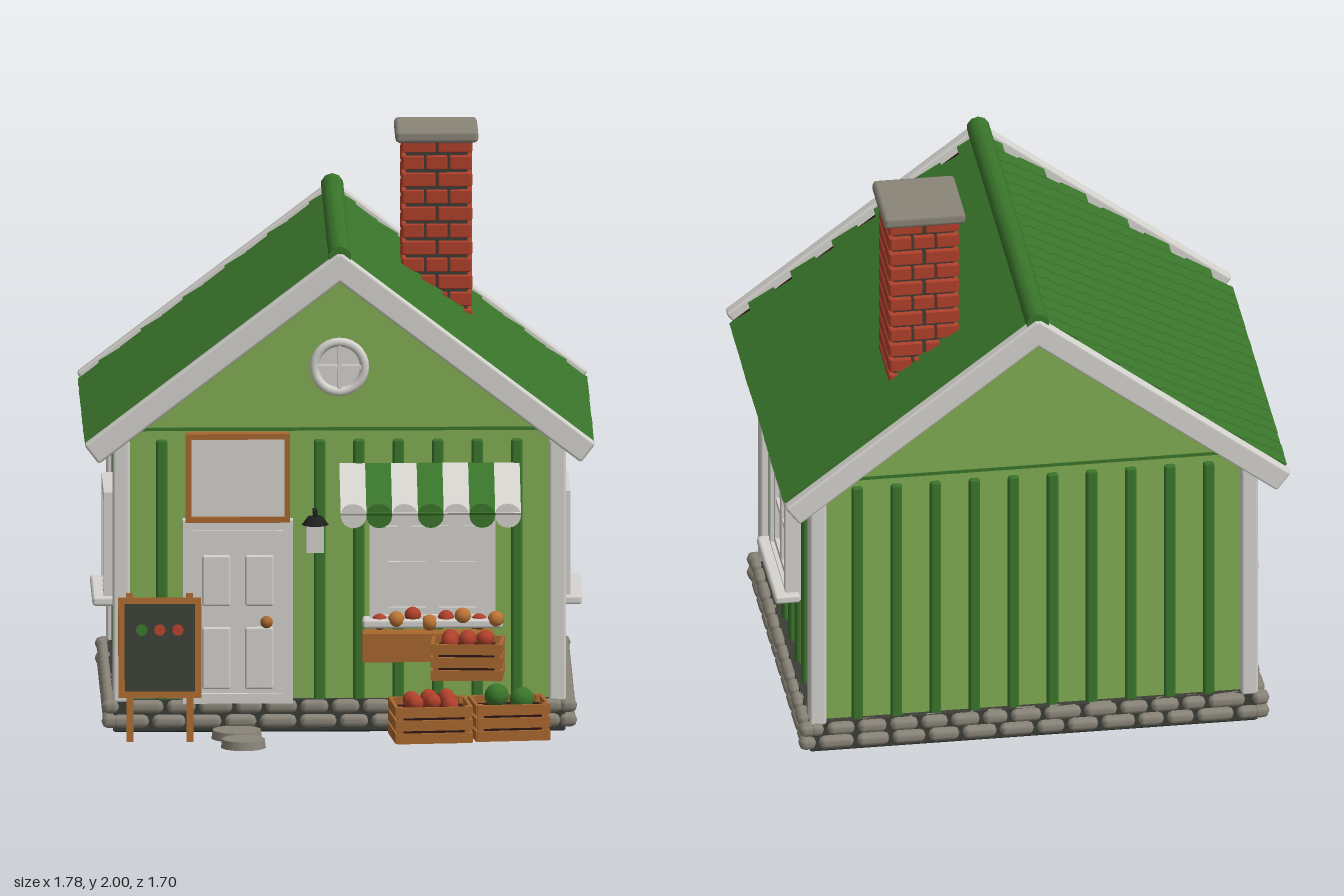
import * as THREE from 'three';
import { mergeGeometries } from 'three/addons/utils/BufferGeometryUtils.js';
import { RoundedBoxGeometry } from 'three/addons/geometries/RoundedBoxGeometry.js';

const mat = (name, color) => new THREE.MeshStandardMaterial({ name, color });

export function createModel() {
  const white = mat('white paint', 0xd6d4cf), lightGreen = mat('light green wall', 0x82ae54);
  const green = mat('dark green', 0x3a762b), red = mat('brick red', 0xb0402b);
  const stone = mat('stone grey', 0x8a8579), maroon = mat('dark maroon', 0x301718);
  const wood = mat('wood', 0xa9682f), charcoal = mat('charcoal', 0x3b3d36);
  const black = mat('black', 0x1f201d), orange = mat('orange fruit', 0xbd7434);
  const model = new THREE.Group();
  model.name = 'cottageShop';

  let seed = 7;
  const rand = () => (seed = (seed * 16807) % 2147483647) / 2147483647;
  const group = (name, parent = model) => {
    const g = new THREE.Group();
    g.name = name;
    parent.add(g);
    return g;
  };
  // a list of geometries becomes one mesh
  const add = (name, geo, material, parent = model) => {
    const whole = Array.isArray(geo) ? mergeGeometries(geo.map(g => (g.index ? g.toNonIndexed() : g))) : geo;
    const m = new THREE.Mesh(whole, material);
    m.name = name;
    parent.add(m);
  };
  const box = (w, h, d, x, y, z) => new THREE.BoxGeometry(w, h, d).translate(x, y, z);
  const soft = (w, h, d, x, y, z, r = 0.01) =>
    new RoundedBoxGeometry(w, h, d, 1, Math.min(r, w * 0.45, h * 0.45, d * 0.45)).translate(x, y, z);
  const ball = (r, x, y, z) => new THREE.SphereGeometry(r, 10, 8).translate(x, y, z);
  const disc = (r, d, x, y, z, n = 24) => new THREE.CylinderGeometry(r, r, d, n).rotateX(Math.PI / 2).translate(x, y, z);
  // four bars round a rectangle
  const frame = (w, h, t, d, x, y, z) => [
    box(w, t, d, x, y + (h - t) / 2, z), box(w, t, d, x, y - (h - t) / 2, z),
    box(t, h - 2 * t, d, x - (w - t) / 2, y, z), box(t, h - 2 * t, d, x + (w - t) / 2, y, z)];

  // Walls
  const CZ = -0.12, PEAK = 1.71, ANGLE = 0.652, LEN = 1.11;
  const polygon = pts => new THREE.Shape(pts.map(p => new THREE.Vector2(...p)));
  const wallShape = polygon([[-0.76, 0.1], [0.76, 0.1], [0.76, 1.05], [0, 1.63], [-0.76, 1.05]]);
  add('walls', new THREE.ExtrudeGeometry(wallShape, { depth: 1.19, bevelEnabled: false }).translate(0, 0, -0.715), lightGreen);
  const gable = polygon([[-0.7, 1.08], [0.7, 1.08], [0, 1.615]]);
  const posts = [], battens = [];
  for (const s of [-1, 1]) {
    const zf = CZ + s * 0.595;
    add('gable', new THREE.ExtrudeGeometry(gable, { depth: 0.03, bevelEnabled: false }).translate(0, 0, zf - 0.015), lightGreen);
    battens.push(box(1.42, 0.012, 0.034, 0, 1.078, zf));
    for (let i = 0; i < 10; i++) battens.push(soft(0.04, 0.93, 0.03, -0.62 + i * 0.1378, 0.575, zf));
    for (let i = 0; i < 7; i++) battens.push(soft(0.03, 0.92, 0.04, s * 0.76, 0.57, CZ + (i - 3) * 0.155));
    for (const t of [-1, 1]) posts.push(soft(0.06, 0.93, 0.065, s * 0.762, 0.575, CZ + t * 0.592));
  }
  add('wallBattens', battens, green);
  add('cornerPosts', posts, white);

  // Stone footing
  add('footingCore', box(1.58, 0.11, 1.24, 0, 0.065, CZ), charcoal);
  add('floor', box(1.57, 0.006, 1.23, 0, 0.008, CZ), black);
  const stones = [];
  const course = (len, row, place) => {
    let p = -len / 2 + (row ? 0.05 : 0);
    while (p < len / 2 - 0.04) {
      const w = Math.min(0.09 + rand() * 0.055, len / 2 - p);
      stones.push(place(p + w / 2, w - 0.012, 0.045 + row * 0.052));
      p += w;
    }
  };
  for (const row of [0, 1]) for (const s of [-1, 1]) {
    course(1.6, row, (p, w, y) => soft(w, 0.046, 0.06, p, y, CZ + s * 0.617, 0.02));
    course(1.25, row, (p, w, y) => soft(0.06, 0.046, w, s * 0.795, y, CZ + p, 0.02));
    for (const t of [-1, 1]) stones.push(soft(0.06, 0.048, 0.06, s * 0.8, 0.045 + row * 0.052, CZ + t * 0.617, 0.022));
  }
  add('footingStones', stones, stone);

  // Roof slopes with staggered shingles
  for (const s of [-1, 1]) {
    const slope = group('roofSlope');
    slope.position.set(0, PEAK, CZ);
    slope.rotation.z = -s * ANGLE;
    add('roofBoard', box(LEN, 0.046, 1.38, s * LEN / 2, -0.045, 0), maroon, slope);
    const shingles = [], rows = 12, step = LEN / rows, w = 1.37 / 18;
    for (let r = 0; r < rows; r++) for (let c = 0; c < 18 - (r % 2); c++) {
      const z = -0.685 + (c + 0.5 + (r % 2 ? 0.5 : 0)) * w;
      const g = new THREE.BoxGeometry(step + 0.008 + rand() * 0.006, 0.016, w - 0.006).rotateZ(s * 0.1);
      shingles.push(g.translate(s * (r + 0.54) * step, -0.011, z));
    }
    // half shingle closing the back end of each odd row
    for (let r = 1; r < rows; r += 2) shingles.push(box(step, 0.016, w / 2 - 0.006, s * (r + 0.54) * step, -0.013, -0.685 + w / 4));
    add('shingles', shingles, green, slope);
    add('vergeBoards', [-1, 1].map(t => soft(LEN + 0.01, 0.085, 0.045, s * LEN / 2, -0.03, t * 0.71)), white, slope);
  }
  add('ridgeCap', new THREE.CylinderGeometry(0.04, 0.04, 1.44, 10).rotateX(Math.PI / 2).translate(0, 1.705, CZ), green);

  // Brick chimney
  const chimney = group('chimney');
  chimney.position.set(0.355, 0, -0.395);
  add('mortar', box(0.215, 0.68, 0.215, 0, 1.63, 0), charcoal, chimney);
  const bricks = [];
  for (let r = 0; r < 11; r++) {
    const y = 1.338 + r * 0.0605;
    // brick centres and lengths along one face, alternating by course
    const runs = r % 2 ? [[-0.082, 0.075], [0.0, 0.075], [0.082, 0.075]] : [[-0.063, 0.116], [0.063, 0.116]];
    for (const s of [-1, 1]) for (const [p, len] of runs) {
      bricks.push(soft(len, 0.049, 0.03, p, y, s * 0.109, 0.005));
      bricks.push(soft(0.03, 0.049, len, s * 0.109, y, p, 0.005));
    }
  }
  add('bricks', bricks, red, chimney);
  add('chimneyCap', soft(0.29, 0.045, 0.29, 0, 1.9775, 0, 0.015), stone, chimney);

  // Windows, facing +z in their own frame
  const addWindow = (name, x, z, turn, w) => {
    const g = group(name);
    g.position.set(x, 0.58, z);
    g.rotation.y = turn;
    add('frame', frame(w, 0.4, 0.04, 0.06, 0, 0, 0.02), white, g);
    add('pane', box(w - 0.06, 0.34, 0.02, 0, 0, 0.012), white, g);
    add('sashes', [-1, 1].flatMap(s => frame(w / 2 - 0.045, 0.31, 0.022, 0.025, s * (w / 4 - 0.022), 0, 0.025)), white, g);
    add('glazingBar', box(w - 0.08, 0.018, 0.018, 0, 0.02, 0.026), white, g);
    add('sill', soft(w + 0.05, 0.032, 0.09, 0, -0.183, 0.045), white, g);
  };
  addWindow('frontWindow', 0.325, 0.475, 0, 0.44);
  addWindow('leftWindow', 0.765, CZ, Math.PI / 2, 0.4);
  addWindow('rightWindow', -0.765, CZ, -Math.PI / 2, 0.4);

  // Round gable window
  const round = group('roundWindow');
  round.position.set(0, 1.3, 0.49);
  add('roundPane', disc(0.09, 0.02, 0, 0, 0), white, round);
  add('roundFrame', new THREE.TorusGeometry(0.088, 0.016, 8, 28).translate(0, 0, 0.012), white, round);
  add('roundBars', [box(0.17, 0.015, 0.015, 0, 0, 0.016), box(0.015, 0.17, 0.015, 0, 0, 0.016)], white, round);

  // Door and sign board
  const door = group('door');
  door.position.set(-0.355, 0, 0.48);
  add('doorFrame', frame(0.385, 0.65, 0.035, 0.06, 0, 0.435, 0.015), white, door);
  add('doorLeaf', box(0.32, 0.6, 0.03, 0, 0.42, 0.015), white, door);
  const panels = [];
  for (const x of [-0.075, 0.075]) panels.push(soft(0.1, 0.18, 0.022, x, 0.545, 0.031, 0.008), soft(0.1, 0.22, 0.022, x, 0.27, 0.031, 0.008));
  add('doorPanels', panels, white, door);
  add('doorKnob', ball(0.022, 0.1, 0.4, 0.05), wood, door);
  add('signFrame', frame(0.365, 0.315, 0.02, 0.05, 0, 0.91, 0.025), wood, door);
  add('signBoard', box(0.33, 0.28, 0.03, 0, 0.91, 0.022), white, door);

  // Wall lantern
  add('lanternCap', [box(0.015, 0.02, 0.07, -0.085, 0.785, 0.51), new THREE.CylinderGeometry(0.025, 0.048, 0.03, 8).translate(-0.085, 0.76, 0.53)], black);
  add('lanternGlass', box(0.062, 0.1, 0.06, -0.085, 0.7, 0.53), white);

  // Striped awning with scalloped valance
  const awning = group('awning');
  awning.position.set(0, 0.95, 0.485);
  const slopeDown = 0.476;
  for (let i = 0; i < 7; i++) {
    const m = i % 2 ? green : white, x = 0.045 + i * 0.09;
    add('awningStripe', new THREE.BoxGeometry(0.09, 0.014, 0.29).translate(0, 0, 0.145).rotateX(slopeDown).translate(x, 0, 0), m, awning);
    const scallop = new THREE.CylinderGeometry(0.045, 0.045, 0.014, 16).rotateX(Math.PI / 2).scale(1, 0.95, 1);
    add('scallop', scallop.translate(x, -0.137, 0.25), m, awning);
  }

  // Fruit box below the window
  add('windowBox', box(0.46, 0.1, 0.1, 0.31, 0.315, 0.53), wood);
  const boxFruit = [[], []];
  for (let i = 0; i < 8; i++) boxFruit[i % 2].push(ball(0.029, 0.14 + i * 0.058, 0.4 + (i % 3) * 0.012, 0.53 + (i % 2) * 0.02));
  add('windowBoxTomatoes', boxFruit[0], red);
  add('windowBoxOranges', boxFruit[1], orange);

  // Slatted crates with produce
  const crate = (name, x, y, z, turn, w, d, r, produce) => {
    const g = group(name);
    g.position.set(x, y, z);
    g.rotation.y = turn;
    const slats = [];
    for (const s of [-1, 1]) {
      for (let i = 0; i < 3; i++) {
        slats.push(box(w, 0.036, 0.012, 0, 0.02 + i * 0.046, s * d / 2));
        slats.push(box(0.012, 0.036, d, s * w / 2, 0.02 + i * 0.046, 0));
      }
      for (const t of [-1, 1]) slats.push(box(0.02, 0.13, 0.02, s * (w / 2 - 0.012), 0.066, t * (d / 2 - 0.012)));
    }
    add('crateSlats', slats, wood, g);
    add('crateInside', box(w - 0.02, 0.1, d - 0.02, 0, 0.055, 0), maroon, g);
    const fruit = [], nx = Math.floor((w - 0.03) / (2 * r)), nz = Math.floor((d - 0.03) / (2 * r));
    for (let i = 0; i < nx; i++) for (let j = 0; j < nz; j++) {
      fruit.push(ball(r, (i - (nx - 1) / 2) * 2.05 * r, 0.125 + rand() * 0.025, (j - (nz - 1) / 2) * 2.05 * r));
    }
    add('produce', fruit, produce, g);
  };
  crate('tomatoCrate', 0.315, 0.016, 0.7, 0.1, 0.26, 0.22, 0.03, red);
  crate('melonCrate', 0.59, 0.016, 0.665, 0.12, 0.25, 0.2, 0.043, green);
  crate('upperCrate', 0.445, 0.23, 0.67, -0.06, 0.24, 0.19, 0.03, red);

  // Leaning chalkboard
  const board = group('chalkboard');
  board.position.set(-0.63, 0, 0.695);
  board.rotation.x = -0.15;
  add('boardFrame', [...frame(0.29, 0.35, 0.022, 0.025, 0, 0.335, 0),
    box(0.024, 0.52, 0.022, -0.105, 0.265, -0.015), box(0.024, 0.52, 0.022, 0.105, 0.265, -0.015)], wood, board);
  add('boardFace', box(0.26, 0.32, 0.016, 0, 0.335, 0), charcoal, board);
  [green, red, red].forEach((m, i) => add('boardDot', disc(0.02, 0.009, -0.063 + i * 0.063, 0.397, 0.011, 14), m, board));

  // Stepping stones
  add('steppingStones', [[-0.36, 0.59, 0.09], [-0.34, 0.77, 0.08]].map(([x, z, r]) =>
    new THREE.CylinderGeometry(r * 0.95, r, 0.03, 14).translate(x, 0.015, z)), stone);

  return model;
}
